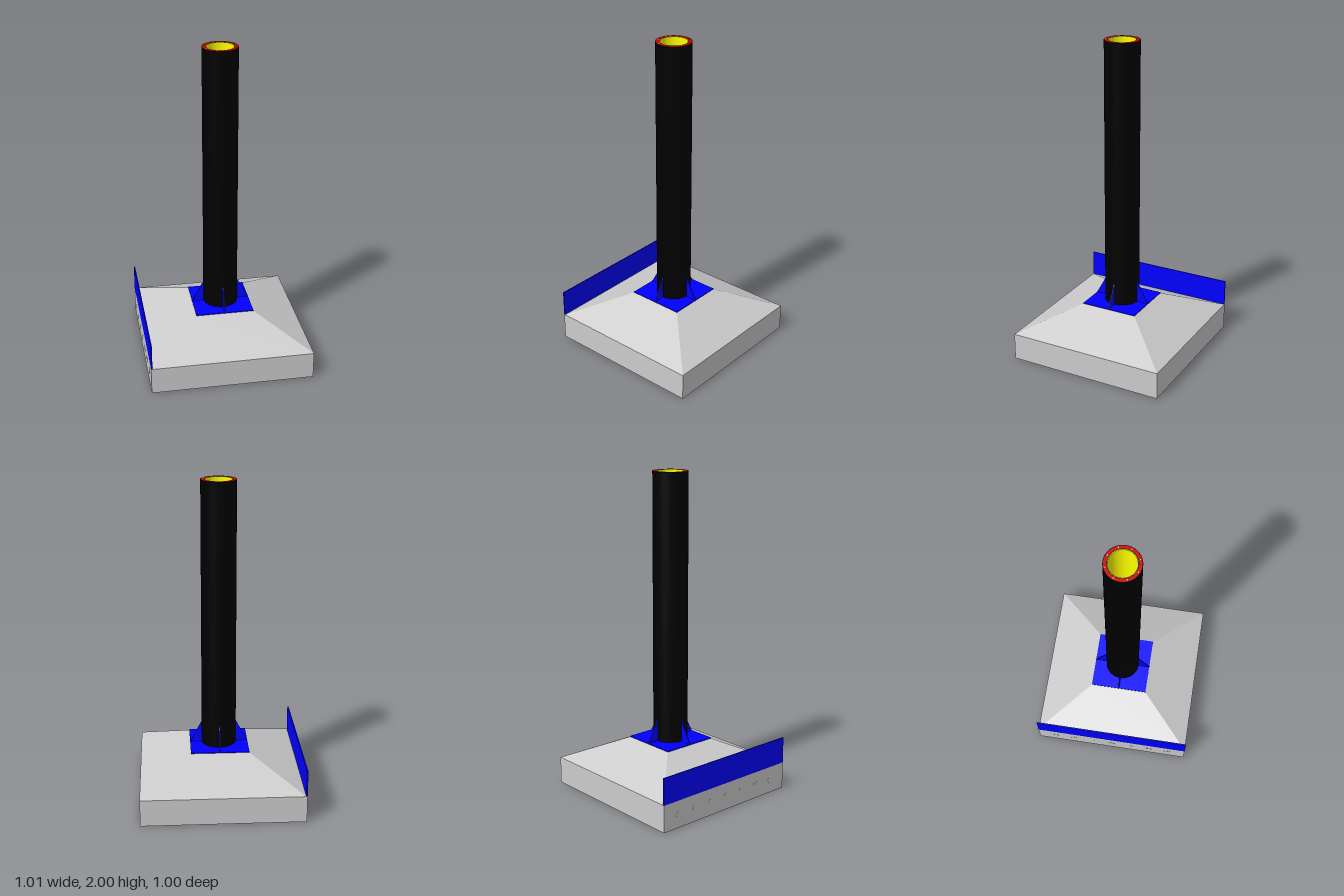
import * as THREE from 'three';

const mat = (color, extra = {}) => new THREE.MeshStandardMaterial({ color, ...extra });

export function createModel() {
  const model = new THREE.Group();
  const assembly = new THREE.Group();
  assembly.name = 'columnOnFooting';
  assembly.position.x = 0.004;
  model.add(assembly);

  const concrete = mat(0xcccccc, { flatShading: true });
  const blue = mat(0x0000ff);
  const black = mat(0x000000);
  const red = mat(0xcc0000);
  const yellow = mat(0xffff00);
  const white = mat(0xffffff);

  const add = (name, geometry, material, x = 0, y = 0, z = 0) => {
    const mesh = new THREE.Mesh(geometry, material);
    mesh.name = name;
    mesh.position.set(x, y, z);
    assembly.add(mesh);
    return mesh;
  };

  const topY = 2, slabY = 0.17, padY = 0.32, padTop = 0.325;
  const half = 0.5, padHalf = 0.182, pipeR = 0.108;

  // Footing: square slab with a sloped top, turned with four sides
  const profile = [[0, 0], [half, 0], [half, slabY], [padHalf, padY], [0, padY]]
    .map(([r, y]) => new THREE.Vector2(r * Math.SQRT2, y));
  add('footing', new THREE.LatheGeometry(profile, 4, Math.PI / 4), concrete);

  // Base plate with a round opening
  const plate = new THREE.Shape([
    new THREE.Vector2(-padHalf, -padHalf), new THREE.Vector2(padHalf, -padHalf),
    new THREE.Vector2(padHalf, padHalf), new THREE.Vector2(-padHalf, padHalf),
  ]);
  plate.holes.push(new THREE.Path().absarc(0, 0, 0.09, 0, Math.PI * 2, true));
  const plateGeo = new THREE.ExtrudeGeometry(plate, { depth: padTop - padY, bevelEnabled: false, curveSegments: 32 });
  plateGeo.rotateX(-Math.PI / 2);
  add('basePlate', plateGeo, blue, 0, padY, 0);

  // Column: nested tubes; doubled profile points keep the rims sharp
  const tube = (name, outer, inner, material) => {
    const a = new THREE.Vector2(outer, padY), b = new THREE.Vector2(outer, topY);
    const c = new THREE.Vector2(inner, topY), d = new THREE.Vector2(inner, padY);
    add(name, new THREE.LatheGeometry([a, b, b.clone(), c, c.clone(), d], 64), material);
  };
  tube('outerPipe', pipeR, 0.105, black);
  tube('columnCore', 0.105, 0.087, red);
  tube('innerPipe', 0.087, 0.084, black);
  tube('innerLining', 0.084, 0.081, yellow);

  // Eight rods showing in the rim of the core
  for (let i = 0; i < 8; i++) {
    const a = (i + 0.5) * Math.PI / 4;
    add('rod', new THREE.CylinderGeometry(0.004, 0.004, 0.02, 12), white,
      0.096 * Math.cos(a), topY - 0.009, 0.096 * Math.sin(a));
  }

  // Four triangular stiffeners
  const gusset = new THREE.Shape([
    new THREE.Vector2(pipeR - 0.002, padTop), new THREE.Vector2(padHalf, padTop),
    new THREE.Vector2(pipeR - 0.002, 0.465),
  ]);
  const gussetGeo = new THREE.ExtrudeGeometry(gusset, { depth: 0.006, bevelEnabled: false });
  gussetGeo.translate(0, 0, -0.003);
  for (let i = 0; i < 4; i++) add('stiffener', gussetGeo, blue).rotation.y = i * Math.PI / 2;

  // Thin panel on one side: grey below, blue upstand above
  const t = 0.008, panelX = -half - t / 2;
  add('sidePanel', new THREE.BoxGeometry(t, slabY, 1), concrete, panelX, slabY / 2, 0);
  add('upstand', new THREE.BoxGeometry(t, 0.167, 1), blue, panelX, slabY + 0.0835, 0);

  // Row of seven round inserts in the side panel
  for (let i = -3; i <= 3; i++) {
    const insert = add('insert', new THREE.CylinderGeometry(0.021, 0.021, t, 24), white,
      panelX - 0.001, slabY / 2, i * 0.128);
    insert.rotation.z = Math.PI / 2;
  }
  return model;
}
